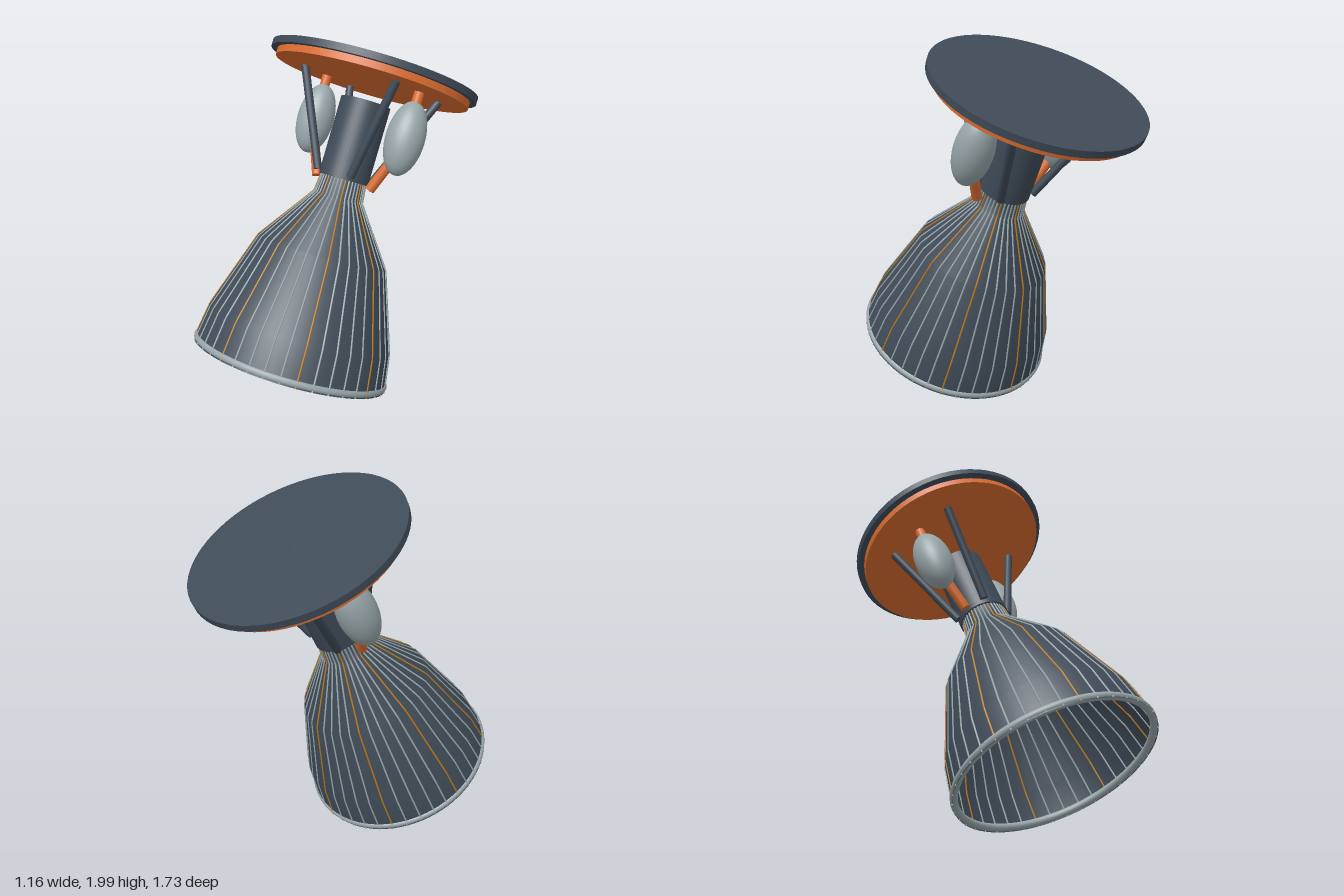
import * as THREE from 'three';

const mat = (name, color, side = THREE.FrontSide) => {
  const m = new THREE.MeshStandardMaterial({ color, side });
  m.name = name;
  return m;
};

export function createModel() {
  const slate = mat('slate', 0x3f4b58);
  const slateShell = mat('slate shell', 0x3f4b58, THREE.DoubleSide);
  const orange = mat('orange', 0xdb6d30);
  const grey = mat('light grey', 0x98a6aa);
  const gold = mat('gold', 0xb9771c);

  const root = new THREE.Group();
  root.name = 'rocketEngine';
  // Everything is built upright around the y axis, then tilted back
  const engine = new THREE.Group();
  engine.name = 'tiltedEngine';
  engine.rotation.x = -THREE.MathUtils.degToRad(25);
  engine.position.set(0, 0.24, 0.365);
  root.add(engine);

  const add = (name, geometry, material, parent = engine) => {
    const mesh = new THREE.Mesh(geometry, material);
    mesh.name = name;
    parent.add(mesh);
    return mesh;
  };
  const disc = (name, radius, y0, y1, material, sides = 64) => {
    const m = add(name, new THREE.CylinderGeometry(radius, radius, y1 - y0, sides), material);
    m.position.y = (y0 + y1) / 2;
    return m;
  };
  // Round rod between two points
  const rod = (name, a, b, radius, material) => {
    const p = new THREE.Vector3(...a), q = new THREE.Vector3(...b);
    const d = q.clone().sub(p);
    const m = add(name, new THREE.CylinderGeometry(radius, radius, d.length(), 16), material);
    m.position.copy(p).add(q).multiplyScalar(0.5);
    m.quaternion.setFromUnitVectors(new THREE.Vector3(0, 1, 0), d.normalize());
    return m;
  };

  // Nozzle bell: [radius, height]
  const profile = [[0.545, -0.003], [0.514, 0.2], [0.365, 0.635], [0.138, 0.95], [0.125, 1.07]]
    .map(([r, y]) => new THREE.Vector2(r, y));
  add('nozzleBell', new THREE.LatheGeometry(profile, 80), slateShell);

  // Rolled lip at the exit
  const lip = add('nozzleLip', new THREE.TorusGeometry(0.531, 0.02, 12, 80), grey);
  lip.rotation.x = Math.PI / 2;
  lip.position.y = 0.018;

  // Cooling ribs, every fifth one gold
  const path = new THREE.CurvePath();
  for (let i = 0; i < profile.length - 1; i++) {
    path.add(new THREE.LineCurve3(
      new THREE.Vector3(0, profile[i].y, profile[i].x),
      new THREE.Vector3(0, profile[i + 1].y, profile[i + 1].x)));
  }
  const ribGeometry = new THREE.TubeGeometry(path, 48, 0.005, 6);
  const ribs = new THREE.Group();
  ribs.name = 'coolingRibs';
  engine.add(ribs);
  const ribCount = 40;
  for (let i = 0; i < ribCount; i++) {
    const isGold = i % 5 === 0;
    const rib = add(isGold ? 'goldRib' : 'greyRib', ribGeometry, isGold ? gold : grey, ribs);
    rib.rotation.y = (i / ribCount) * Math.PI * 2;
  }

  // Combustion chamber and mounting plate
  disc('combustionChamber', 0.14, 1.05, 1.49, slate, 48);
  disc('mountingRing', 0.545, 1.598, 1.638, orange);
  disc('mountingPlate', 0.58, 1.635, 1.672, slate);

  for (const sx of [1, -1]) {
    // Splayed thrust struts
    for (const sz of [1, -1]) {
      rod('thrustStrut', [sx * 0.117, 1.07, sz * 0.097], [sx * 0.317, 1.6, sz * 0.212], 0.023, slate);
    }
    // Turbopump with feed and outlet pipes
    const pump = add('turbopump', new THREE.SphereGeometry(1, 32, 24), grey);
    pump.scale.set(0.105, 0.202, 0.105);
    pump.position.set(sx * 0.32, 1.345, 0);
    rod('feedPipe', [sx * 0.325, 1.45, 0], [sx * 0.325, 1.61, 0], 0.028, orange);
    rod('outletPipe', [sx * 0.192, 1.035, 0], [sx * 0.32, 1.3, 0], 0.028, orange);
  }
  return root;
}
